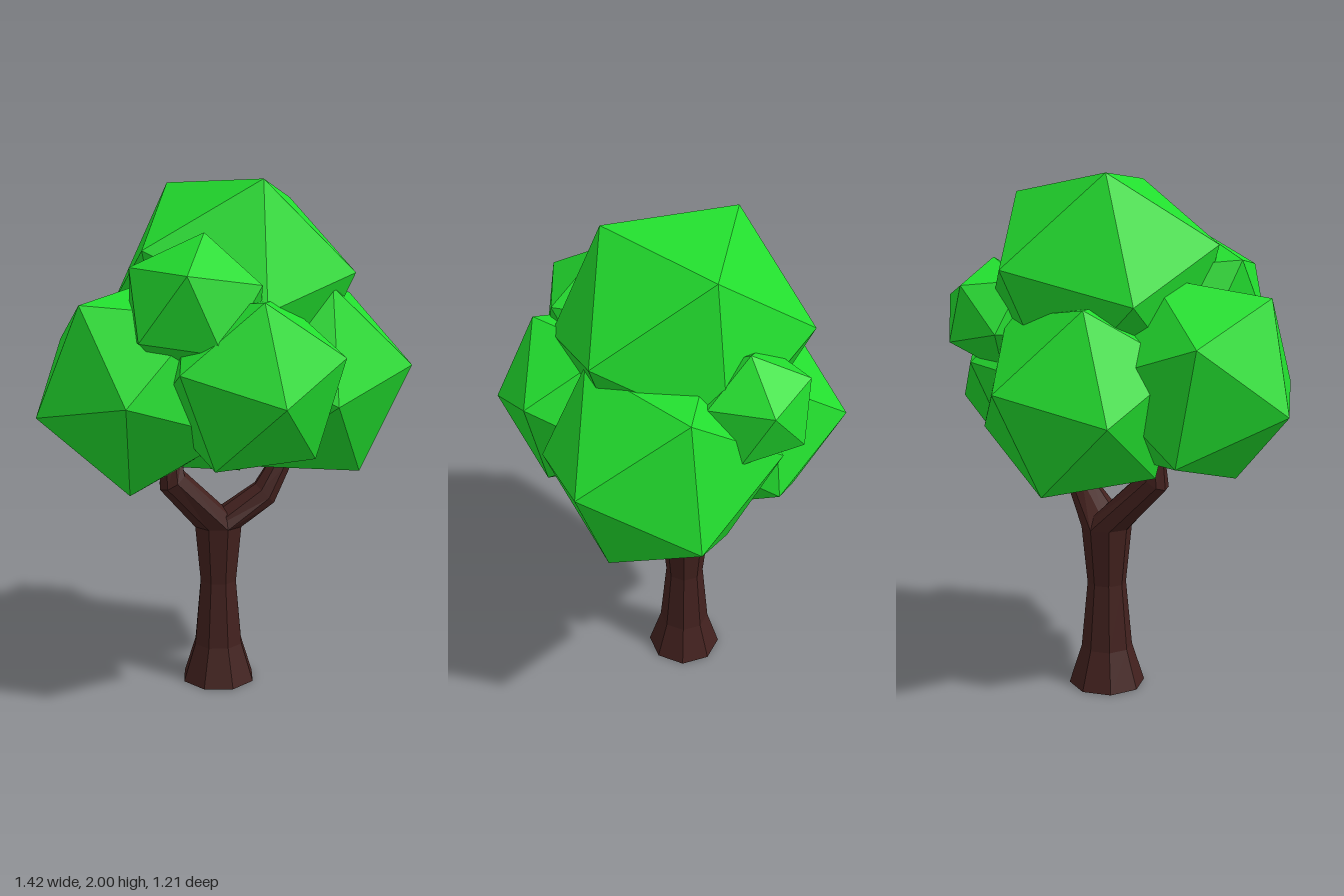
import * as THREE from 'three';

const vec = (a) => new THREE.Vector3(...a);
const UP = new THREE.Vector3(0, 1, 0);
const SIDES = 8;

// Faceted leaf clump: an icosahedron set by its centre and one of its edges (p to q)
function clump(center, p, q) {
  const c = vec(center), a = vec(p).sub(c), b = vec(q).sub(c);
  const radius = (a.length() + b.length()) / 2;
  const y = a.clone().add(b).normalize();
  const x = b.clone().sub(a);
  x.addScaledVector(y, -x.dot(y)).normalize();
  const z = x.clone().cross(y);
  const geometry = new THREE.IcosahedronGeometry(radius, 0);
  geometry.applyMatrix4(new THREE.Matrix4().makeBasis(x, y, z).setPosition(c));
  return geometry;
}

// Capped eight-sided limb through stations [x, y, z, radius]; the first ring lies level
function limb(stations) {
  const pts = stations.map((s) => vec(s.slice(0, 3)));
  const n = pts.length, pos = [], idx = [];
  pts.forEach((p, i) => {
    const dir = i === 0 ? UP : pts[Math.min(i + 1, n - 1)].clone().sub(pts[i - 1]).normalize();
    const turn = new THREE.Quaternion().setFromUnitVectors(UP, dir);
    for (let j = 0; j < SIDES; j++) {
      const a = ((j + 0.5) / SIDES) * Math.PI * 2, r = stations[i][3];
      const v = new THREE.Vector3(Math.cos(a) * r, 0, Math.sin(a) * r).applyQuaternion(turn).add(p);
      pos.push(v.x, v.y, v.z);
    }
  });
  pos.push(...pts[0].toArray(), ...pts[n - 1].toArray());
  const bottom = n * SIDES, top = bottom + 1;
  for (let j = 0; j < SIDES; j++) {
    const k = (j + 1) % SIDES;
    for (let i = 0; i < n - 1; i++) {
      const lo = i * SIDES, hi = lo + SIDES;
      idx.push(lo + j, hi + j, lo + k, lo + k, hi + j, hi + k);
    }
    const last = (n - 1) * SIDES;
    idx.push(bottom, j, k, top, last + k, last + j);
  }
  const geometry = new THREE.BufferGeometry();
  geometry.setAttribute('position', new THREE.Float32BufferAttribute(pos, 3));
  geometry.setIndex(idx);
  geometry.computeVertexNormals();
  return geometry;
}

export function createModel() {
  const tree = new THREE.Group();
  tree.name = 'tree';
  const bark = new THREE.MeshStandardMaterial({ color: 0x42211e, flatShading: true });
  const leaf = new THREE.MeshStandardMaterial({ color: 0x22dd2e, flatShading: true });
  const add = (name, geometry, material) => {
    const mesh = new THREE.Mesh(geometry, material);
    mesh.name = name;
    tree.add(mesh);
  };

  // Trunk with a flared foot, forking into two branches
  const x = 0.024, z = -0.053;
  add('trunk', limb([
    [x, 0, z, 0.152], [x, 0.155, z, 0.102], [x, 0.42, z, 0.077], [x, 0.65, z, 0.1],
  ]), bark);
  add('leftBranch', limb([
    [x, 0.65, z, 0.1], [0.164, 0.78, 0.07, 0.058], [0.217, 0.89, 0.1, 0.046], [0.25, 1.0, 0.12, 0.044],
  ]), bark);
  add('rightBranch', limb([
    [x, 0.65, z, 0.1], [-0.185, 0.86, -0.1, 0.06], [-0.18, 0.95, -0.11, 0.045],
  ]), bark);

  // Leaf clumps: centre, then the two ends of one edge
  const clumps = {
    topClump: [[0.06, 1.6, -0.015], [-0.04, 2, 0.24], [-0.04, 2, -0.27]],
    leftClump: [[0.288, 1.247, 0.146], [0.71, 1.115, 0.146], [0.595, 1.566, 0.146]],
    frontClump: [[-0.151, 1.277, 0.279], [-0.315, 1.233, 0.6], [0.04, 1.376, 0.57]],
    rightClump: [[-0.333, 1.25, -0.094], [-0.71, 1.153, -0.255], [-0.616, 1.56, -0.11]],
    backClump: [[0.061, 1.193, -0.26], [-0.147, 1.143, -0.607], [0.269, 1.243, -0.607]],
    smallLeftClump: [[0.429, 1.484, -0.147], [0.635, 1.555, -0.13], [0.46, 1.7, -0.114]],
    smallRightClump: [[-0.297, 1.535, 0.144], [-0.267, 1.81, 0.164], [-0.205, 1.635, 0.39]],
  };
  for (const [name, spec] of Object.entries(clumps)) add(name, clump(...spec), leaf);

  return tree;
}
